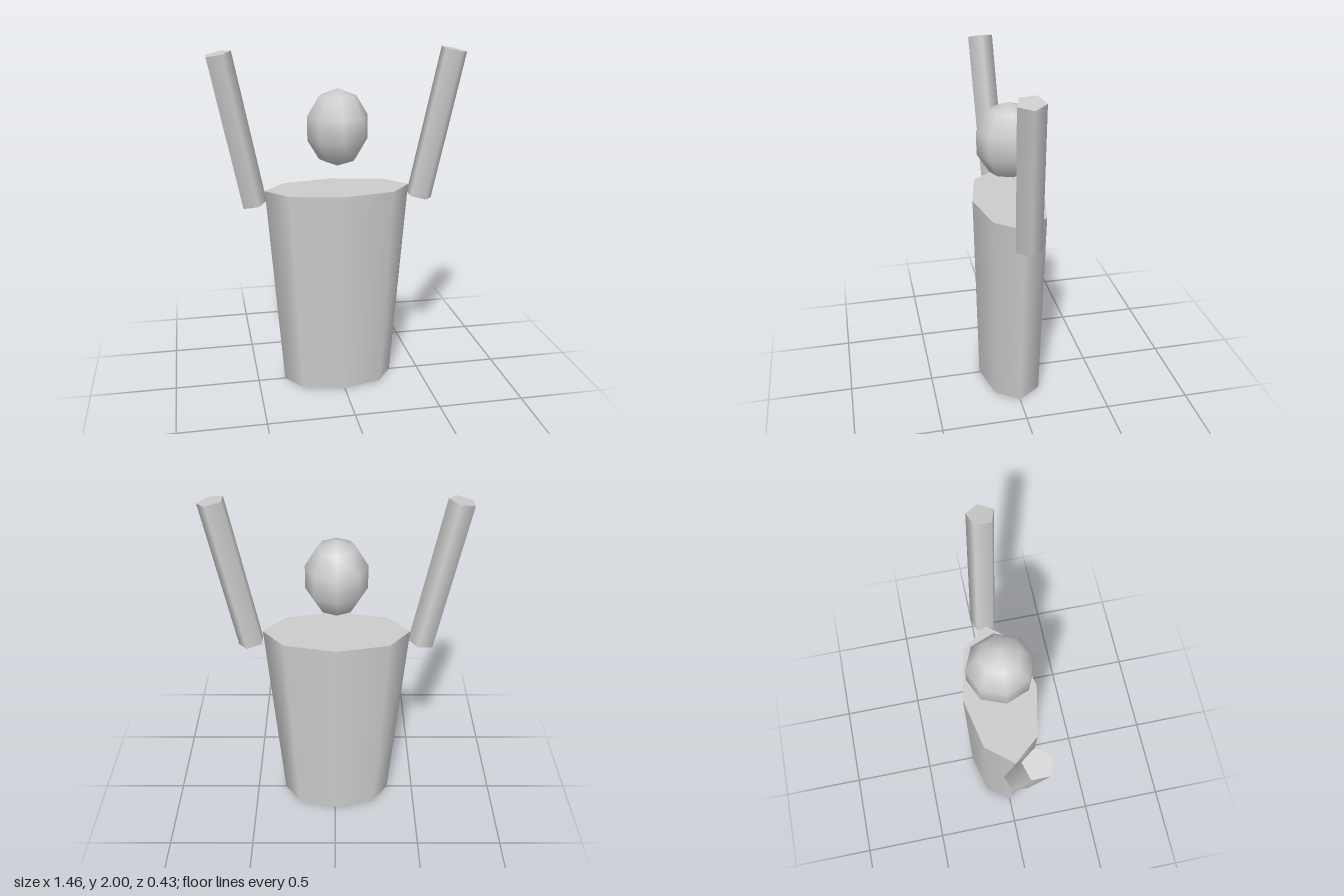
import * as THREE from 'three';

export function createModel() {
  const group = new THREE.Group();
  const grey = new THREE.MeshStandardMaterial({ color: 0xcccccc });
  grey.name = 'plain grey';
  const centreX = -0.008;

  const add = (name, geometry) => {
    const mesh = new THREE.Mesh(geometry, grey);
    mesh.name = name;
    group.add(mesh);
    return mesh;
  };

  // Torso: flattened eight-sided column, tapering more in width than in depth
  const torso = new THREE.CylinderGeometry(0.423, 0.33, 1.205, 8);
  torso.scale(1, 1, 0.504);
  const pos = torso.attributes.position;
  for (let i = 0; i < pos.count; i++) {
    if (pos.getY(i) < 0) pos.setZ(i, pos.getZ(i) * 1.16);
  }
  add('torso', torso).position.set(centreX, 0.6025, -0.001);

  // Head: coarse ellipsoid floating above the torso
  const head = new THREE.SphereGeometry(1, 8, 5);
  head.scale(0.183, 0.222, 0.193);
  add('head', head).position.set(centreX, 1.558, 0);

  // Arms: five-sided rods raised outwards and slightly forwards
  const up = new THREE.Vector3(0, 1, 0);
  for (const [name, side] of [['leftArm', 1], ['rightArm', -1]]) {
    const bottom = new THREE.Vector3(centreX + side * 0.489, 1.132, 0);
    const top = new THREE.Vector3(centreX + side * 0.661, 1.987, 0.037);
    const axis = top.clone().sub(bottom);
    const rod = new THREE.CylinderGeometry(0.077, 0.077, axis.length(), 5, 1, false, Math.PI / 2);
    const arm = add(name, rod);
    arm.position.copy(bottom).lerp(top, 0.5);
    arm.quaternion.setFromUnitVectors(up, axis.normalize());
  }

  return group;
}
